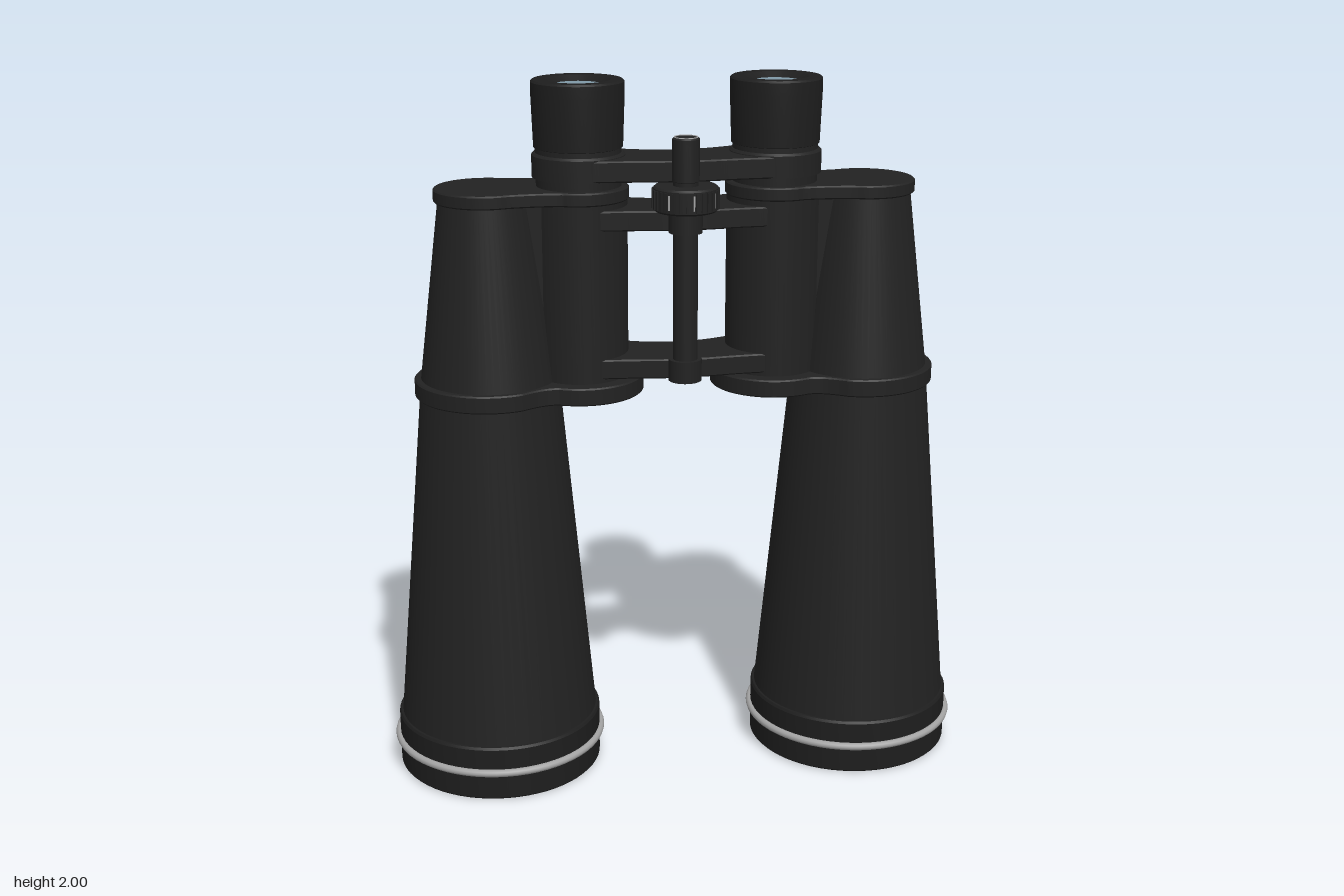
import * as THREE from 'three';
import { toCreasedNormals } from 'three/addons/utils/BufferGeometryUtils.js';

const material = (name, color) => {
  const m = new THREE.MeshStandardMaterial({ color });
  m.name = name;
  return m;
};

const OBJ_X = 0.53;   // objective axis
const EYE_X = 0.273;  // eyepiece axis
const POST_Z = 0.145; // centre post axis

export function createModel() {
  const body = material('black body', 0x222222);
  const rubber = material('dark rubber', 0x1e1e1e);
  const silver = material('silver trim', 0xa4a4a4);
  const glass = material('blue glass', 0x7f98a6);

  const model = new THREE.Group();
  model.name = 'binoculars';

  const add = (parent, name, geometry, mat, x = 0, y = 0, z = 0) => {
    const mesh = new THREE.Mesh(geometry, mat);
    mesh.name = name;
    mesh.position.set(x, y, z);
    parent.add(mesh);
    return mesh;
  };
  const lathe = (points, segments = 64) => toCreasedNormals(
    new THREE.LatheGeometry(points.map(([r, y]) => new THREE.Vector2(r, y)), segments), 0.5);
  // Horizontal plate from an outline drawn in x and z
  const plate = (shape, y0, y1) => {
    const b = 0.004;
    const g = new THREE.ExtrudeGeometry(shape, {
      depth: y1 - y0 - 2 * b, bevelEnabled: true, bevelSize: b, bevelOffset: -b,
      bevelThickness: b, bevelSegments: 1, curveSegments: 32,
    });
    g.rotateX(Math.PI / 2).translate(0, y1 - b, 0);
    return toCreasedNormals(g, 0.5);
  };
  // Two discs joined by a soft waist: eyepiece side to objective side
  const waisted = (rEye, rObj) => {
    const s = new THREE.Shape();
    const a = Math.PI * 0.36, b = Math.PI * 0.62;
    const waist = Math.min(rEye, rObj) * 0.84;
    const mid = (EYE_X + rEye + OBJ_X - rObj) / 2;
    s.absarc(OBJ_X, 0, rObj, -b, b, false);
    s.quadraticCurveTo(mid, waist, EYE_X + rEye * Math.cos(a), rEye * Math.sin(a));
    s.absarc(EYE_X, 0, rEye, a, 2 * Math.PI - a, false);
    s.quadraticCurveTo(mid, -waist, OBJ_X + rObj * Math.cos(b), -rObj * Math.sin(b));
    return s;
  };
  // Arched arm linking both sides to the centre post
  const arm = () => {
    const s = new THREE.Shape();
    s.moveTo(-0.27, -0.11);
    s.bezierCurveTo(-0.13, -0.09, -0.12, -0.045, 0, -0.045);
    s.bezierCurveTo(0.12, -0.045, 0.13, -0.09, 0.27, -0.11);
    s.lineTo(0.27, 0.125);
    s.bezierCurveTo(0.18, 0.125, 0.14, 0.13, 0.06, 0.14);
    s.lineTo(-0.06, 0.14);
    s.bezierCurveTo(-0.14, 0.13, -0.18, 0.125, -0.27, 0.125);
    s.closePath();
    return s;
  };

  for (const side of [1, -1]) {
    const half = new THREE.Group();
    half.name = side > 0 ? 'leftHalf' : 'rightHalf';
    model.add(half);
    const ox = side * OBJ_X, ex = side * EYE_X;

    // Objective barrel
    add(half, 'objectiveRim', lathe([
      [0.235, 0.035], [0.245, 0.005], [0.29, 0.005], [0.295, 0.01],
      [0.295, 0.16], [0.291, 0.167], [0.28, 0.168],
    ]), rubber, ox);
    add(half, 'objectiveLens', new THREE.CircleGeometry(0.238, 64).rotateX(Math.PI / 2), glass, ox, 0.022);
    const band = new THREE.TorusGeometry(0.298, 0.011, 10, 64).rotateX(Math.PI / 2);
    add(half, 'silverBand', band, silver, ox, 0.09);
    add(half, 'lowerBarrel', lathe([[0.285, 0.165], [0.196, 1.14]]), body, ox);
    add(half, 'upperBarrel', lathe([[0.193, 1.17], [0.127, 1.69]]), body, ox);

    // Prism housing between its two flanges
    add(half, 'prismHousing', lathe([[0.133, 1.17], [0.133, 1.69]]), body, ex);
    add(half, 'housingWeb', new THREE.BoxGeometry(0.26, 0.52, 0.15), body, side * 0.4, 1.43);
    for (const [name, rEye, rObj, y0, y1] of [
      ['lowerFlange', 0.175, 0.21, 1.13, 1.18],
      ['topFlange', 0.137, 0.14, 1.675, 1.712],
    ]) {
      const mesh = add(half, name, plate(waisted(rEye, rObj), y0, y1), body);
      if (side < 0) mesh.rotation.y = Math.PI;
    }

    // Eyepiece with collar, groove and cup
    add(half, 'eyepieceCollar', lathe([
      [0.117, 1.7], [0.117, 1.735], [0.128, 1.737], [0.128, 1.797],
      [0.122, 1.803], [0.118, 1.803], [0.118, 1.82],
    ]), body, ex);
    add(half, 'eyecup', lathe([
      [0.115, 1.815], [0.122, 1.818], [0.127, 1.96], [0.127, 1.993],
      [0.122, 1.998], [0.09, 1.998], [0.065, 1.982],
    ]), rubber, ex);
    add(half, 'eyeLens', new THREE.CircleGeometry(0.067, 48).rotateX(-Math.PI / 2), glass, ex, 1.984);
  }

  // Bridge and hinge arms
  add(model, 'eyepieceBridge', plate(arm(), 1.737, 1.795), body);
  for (const [name, y0, y1] of [['upperHinge', 1.605, 1.66], ['lowerHinge', 1.19, 1.245]]) {
    add(model, name + 'Arm', plate(arm(), y0, y1), body);
    add(model, name + 'Hub', new THREE.CylinderGeometry(0.046, 0.046, y1 - y0 + 0.006, 32),
      body, 0, (y0 + y1) / 2, POST_Z);
  }

  // Centre post
  add(model, 'centrePost', lathe([
    [0, 1.185], [0.034, 1.185], [0.034, 1.74], [0.037, 1.742], [0.037, 1.855], [0.033, 1.859], [0, 1.859],
  ], 32), body, 0, 0, POST_Z);
  add(model, 'postTrim', new THREE.TorusGeometry(0.031, 0.002, 6, 32).rotateX(Math.PI / 2),
    silver, 0, 1.859, POST_Z);

  // Focus wheel with knurled edge
  const wheel = new THREE.Group();
  wheel.name = 'focusWheel';
  wheel.position.set(0, 1.696, POST_Z);
  model.add(wheel);
  add(wheel, 'wheelCore', lathe([
    [0, -0.034], [0.083, -0.034], [0.088, -0.029], [0.088, 0.029], [0.083, 0.034], [0, 0.034],
  ], 40), body);
  const ridges = 32;
  for (let i = 0; i < ridges; i++) {
    const a = (i / ridges) * Math.PI * 2;
    const ridge = add(wheel, 'ridge', new THREE.BoxGeometry(0.009, 0.052, 0.008), body,
      Math.sin(a) * 0.088, 0, Math.cos(a) * 0.088);
    ridge.rotation.y = a;
    if (i % 4 === 0) {
      const b = a + Math.PI / ridges;
      const glint = add(wheel, 'ridgeTrim', new THREE.BoxGeometry(0.004, 0.04, 0.004), silver,
        Math.sin(b) * 0.088, 0, Math.cos(b) * 0.088);
      glint.rotation.y = b;
    }
  }

  // Slight forward lean of the whole instrument
  model.rotation.x = 0.0166;
  const root = new THREE.Group();
  root.name = 'model';
  root.add(model);
  return root;
}
